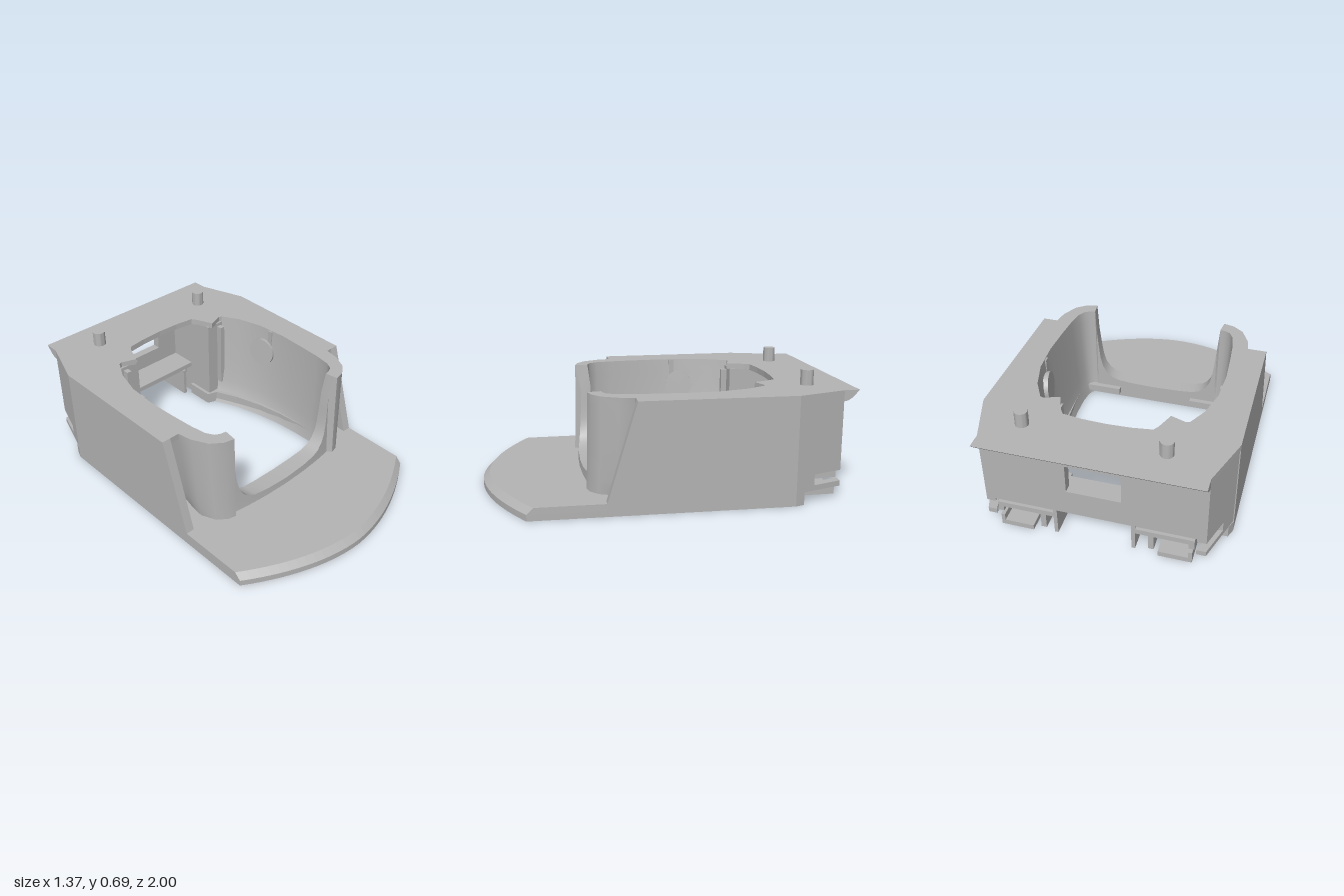
import * as THREE from 'three';
import { toCreasedNormals } from 'three/addons/utils/BufferGeometryUtils.js';

const grey = new THREE.MeshStandardMaterial({ color: 0xb4b4b4 });
grey.name = 'plain grey';

export function createModel() {
  const group = new THREE.Group();

  const add = (name, geo) => {
    const mesh = new THREE.Mesh(geo, grey);
    mesh.name = name;
    group.add(mesh);
    return mesh;
  };
  // box given by its limits
  const box = (name, x0, x1, y0, y1, z0, z1) => {
    const g = new THREE.BoxGeometry(Math.abs(x1 - x0), y1 - y0, z1 - z0);
    g.translate((x0 + x1) / 2, (y0 + y1) / 2, (z0 + z1) / 2);
    return add(name, g);
  };
  // horizontal slab from a plan outline of [x, z] points
  const slab = (pts, y0, y1, steps = 1) => {
    const shape = new THREE.Shape(pts.map(([x, z]) => new THREE.Vector2(x, -z)));
    const g = new THREE.ExtrudeGeometry(shape, { depth: y1 - y0, steps, bevelEnabled: false });
    return g.rotateX(-Math.PI / 2).translate(0, y0, 0);
  };
  // plate from a side profile of [z, y] points, spanning x0 to x1
  const sidePlate = (pts, x0, x1) => {
    const shape = new THREE.Shape(pts.map(([z, y]) => new THREE.Vector2(-z, y)));
    const g = new THREE.ExtrudeGeometry(shape, { depth: x1 - x0, bevelEnabled: false });
    return g.rotateY(Math.PI / 2).translate(x0, 0, 0);
  };
  const mirror = (pts) => pts.map(([x, ...rest]) => [-x, ...rest]).reverse();
  // outer side, the +x flank tapers slightly to the front
  const edgeX = (s, z) => (s < 0 ? -0.685 : 0.68 - 0.021 * (z + 0.64));

  // base plate, open at the back, with a curved and bevelled front edge
  const arc = [];
  for (let i = 0; i <= 28; i++) {
    const t = i / 28;
    const x = 0.65 + (-0.685 - 0.65) * t;
    arc.push([x, 1 - 0.23 * Math.pow(Math.abs(2 * t - 1), 1.85)]);
  }
  const floorHole = [[0.26, -0.69], [0.26, -0.52], [0.32, -0.5], [0.38, -0.36], [0.425, -0.2],
    [0.45, -0.05], [0.46, 0.1], [0.46, 0.22], [0.45, 0.3], [0.41, 0.36]];
  const base = slab([[0.66, -0.69], [0.68, -0.64], ...arc, [-0.685, -0.64], [-0.665, -0.69],
    ...mirror(floorHole).reverse(), ...floorHole.slice().reverse()], 0, 0.07, 2);
  const p = base.attributes.position;
  for (let i = 0; i < p.count; i++) {
    if (p.getZ(i) > 0.7 && p.getY(i) > 0.06) p.setZ(i, p.getZ(i) - 0.036);
  }
  base.computeVertexNormals();
  add('basePlate', base);

  // top deck around the opening
  const deckHole = [[0.56, 0.2], [0.51, 0.1], [0.52, -0.1], [0.515, -0.28], [0.47, -0.43],
    [0.41, -0.53], [0.385, -0.54], [0.3, -0.51], [0.26, -0.61], [0.24, -0.64], [0.13, -0.655]];
  add('topDeck', slab([[edgeX(1, 0.2), 0.2], ...deckHole, [0, -0.66], ...mirror(deckHole),
    [-0.685, 0.2], [-0.685, -0.64], [-0.59, -0.915], [0.59, -0.915], [0.68, -0.64]], 0.565, 0.6));
  add('rearLip', sidePlate([[-0.91, 0.6], [-1, 0.6], [-0.96, 0.558], [-0.935, 0.543], [-0.91, 0.54]], -0.59, 0.59));

  // rear wall with its window
  const rear = new THREE.Shape([[-0.59, 0.18], [0.59, 0.18], [0.59, 0.57], [-0.59, 0.57]]
    .map(([x, y]) => new THREE.Vector2(x, y)));
  rear.holes.push(new THREE.Path([[-0.15, 0.33], [-0.15, 0.5], [0.14, 0.5], [0.14, 0.33]]
    .map(([x, y]) => new THREE.Vector2(x, y))));
  add('rearWall', new THREE.ExtrudeGeometry(rear, { depth: 0.05, bevelEnabled: false }).translate(0, 0, -0.915));
  box('rearLedge', -0.28, 0.28, 0.2, 0.23, -0.87, -0.7);

  for (const s of [-1, 1]) {
    // side wall with a sloping front end
    const wall = sidePlate([[-0.64, 0.005], [0.36, 0.005], [0.36, 0.07], [0.2, 0.6], [-0.64, 0.6]], 0, 0.05);
    const w = wall.attributes.position;
    for (let i = 0; i < w.count; i++) w.setX(i, edgeX(s, w.getZ(i)) - (s > 0 ? 0.05 : 0) + w.getX(i));
    wall.computeVertexNormals();
    add('sideWall', wall);

    // angled rear corner, notched near the bottom
    for (const [y0, y1, z] of [[0, 0.07, -0.69], [0.07, 0.1, -0.915], [0.1, 0.16, -0.75], [0.16, 0.6, -0.915]]) {
      const x = 0.68 - 0.09 * (-0.64 - z) / 0.275;
      add('rearCorner', slab([[0.68, -0.64], [x, z], [x - 0.05, z], [0.63, -0.64]].map(([a, b]) => [a * s, b]), y0, y1));
    }

    // rear clips under the wall
    box('rearShelf', s * 0.2, s * 0.53, 0.13, 0.16, -0.915, -0.75);
    box('shelfEdge', s * 0.5, s * 0.53, 0.1, 0.16, -0.915, -0.75);
    box('rearFin', s * 0.2, s * 0.22, 0.02, 0.2, -0.915, -0.69);
    box('rearTab', s * 0.34, s * 0.52, 0, 0.03, -0.915, -0.69);
    box('tabFin', s * 0.5, s * 0.52, 0, 0.07, -0.915, -0.69);

    // rear chamber sides and ribs
    box('chamberSide', s * 0.28, s * 0.31, 0.0, 0.57, -0.88, -0.53);
    box('chamberFront', s * 0.28, s * 0.4, 0, 0.57, -0.56, -0.525);
    box('innerRib', s * 0.355, s * 0.385, 0.14, 0.55, -0.53, -0.49);
    box('cornerShelf', s * 0.23, s * 0.44, 0.03, 0.07, 0.31, 0.35);

    // round boss and small stop on the inner wall
    const boss = add('roundBoss', new THREE.CylinderGeometry(0.085, 0.085, 0.05, 28));
    boss.position.set(s * 0.49, 0.44, -0.24);
    boss.rotation.set(0, s * 0.18, Math.PI / 2 - s * 0.08);
    box('innerStop', s * 0.495, s * 0.515, 0.45, 0.595, -0.21, -0.18);
  }

  // cradle wall: inner top, inner bottom, outer top, outer bottom as x, z pairs
  const rows = [
    [0.40, -0.54, 0.31, -0.50, 0.42, -0.56, 0.34, -0.52],
    [0.46, -0.43, 0.37, -0.36, 0.49, -0.44, 0.40, -0.37],
    [0.50, -0.28, 0.41, -0.20, 0.53, -0.28, 0.44, -0.20],
    [0.51, -0.10, 0.435, -0.05, 0.54, -0.10, 0.465, -0.05],
    [0.50, 0.08, 0.445, 0.10, 0.54, 0.08, 0.48, 0.10],
    [0.49, 0.20, 0.445, 0.22, 0.58, 0.20, 0.50, 0.24],
    [0.475, 0.29, 0.435, 0.30, 0.565, 0.28, 0.52, 0.32],
    [0.45, 0.335, 0.42, 0.33, 0.52, 0.37, 0.49, 0.40],
    [0.42, 0.35, 0.40, 0.34, 0.46, 0.415, 0.44, 0.44],
    [0.39, 0.355, 0.39, 0.34, 0.40, 0.43, 0.40, 0.45],
  ].map((r) => [...r, 0.6]);
  // low front lip: x and height
  for (const [x, h] of [[0.38, 0.47], [0.37, 0.36], [0.36, 0.27], [0.345, 0.21], [0.32, 0.165],
    [0.285, 0.135], [0.24, 0.12], [0.15, 0.112], [0, 0.108]]) {
    const z = 0.46 - 0.2 * x * x;
    rows.push([x, 0.34, x, 0.34, x, z - 0.04, x, z, h]);
  }
  const flip = (r) => r.map((v, i) => (i % 2 === 0 && i < 8 ? -v : v));
  const stations = [...rows, ...rows.slice(0, -1).reverse().map(flip)];
  const n = 9, m = 2 * n, verts = [], index = [];
  for (const r of stations) {
    for (let j = 0; j < m; j++) {
      const inner = j < n, k = inner ? j : m - 1 - j, o = inner ? 0 : 4;
      const y = r[8] * k / (n - 1), t = Math.sqrt(y / 0.6);
      verts.push(r[o + 2] + (r[o] - r[o + 2]) * t, y, r[o + 3] + (r[o + 1] - r[o + 3]) * t);
    }
  }
  for (let i = 0; i < stations.length - 1; i++) {
    for (let j = 0; j < m; j++) {
      const a = i * m + j, c = i * m + (j + 1) % m, b = a + m, d = c + m;
      index.push(a, b, c, b, d, c);
    }
  }
  const cradle = new THREE.BufferGeometry();
  cradle.setAttribute('position', new THREE.Float32BufferAttribute(verts, 3));
  cradle.setIndex(index);
  add('cradleWall', toCreasedNormals(cradle, 0.7));

  // locating pins on the deck
  for (const [x, z] of [[-0.35, -0.8], [0.41, -0.77]]) {
    add('locatingPin', toCreasedNormals(new THREE.CylinderGeometry(0.036, 0.036, 0.1, 28), 0.7)).position.set(x, 0.635, z);
  }
  return group;
}
